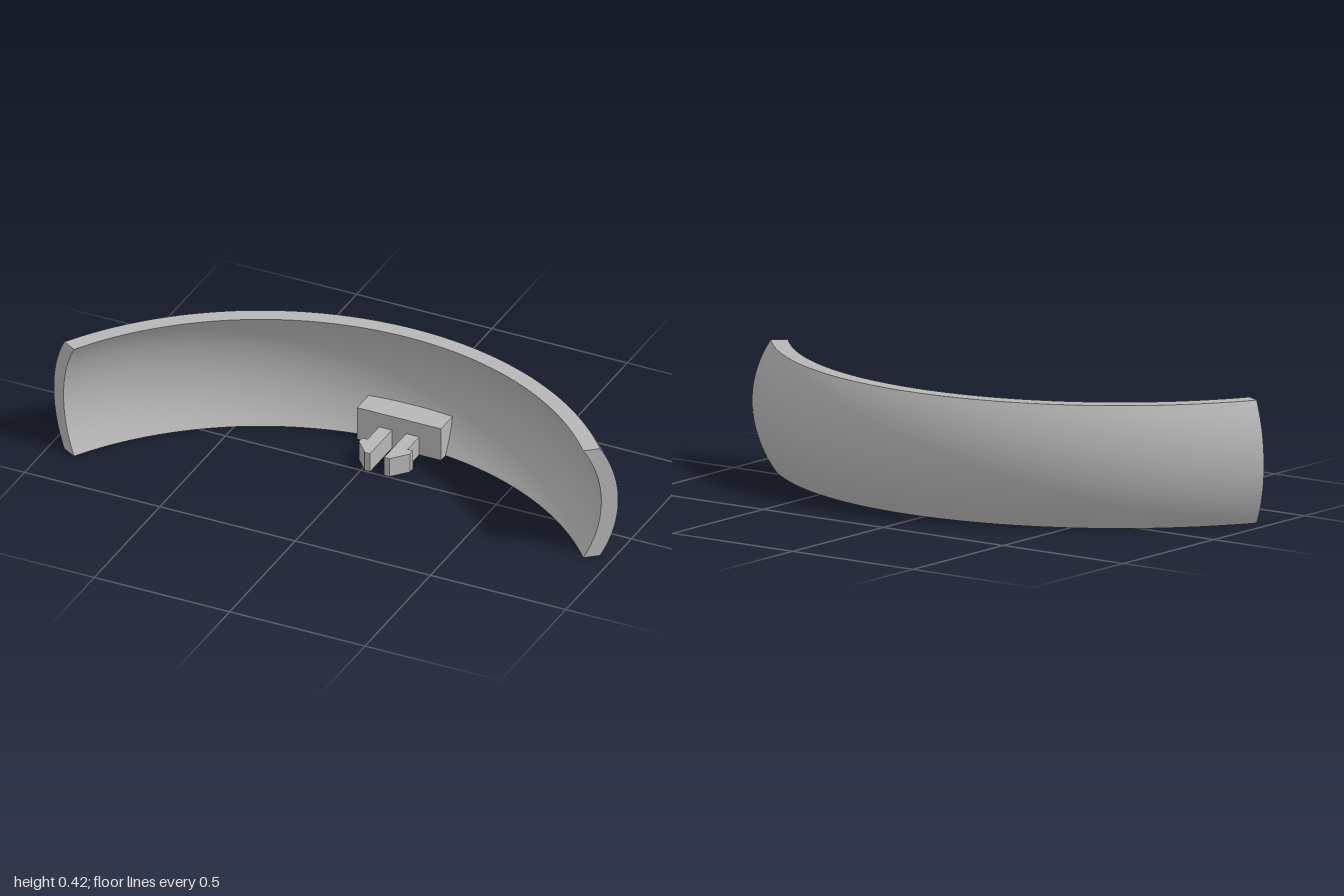
import * as THREE from 'three';
import { mergeGeometries } from 'three/addons/utils/BufferGeometryUtils.js';

const H = 0.417;                    // band height
const CX = 0.061, CZ = 0.889;       // axis of the band's sweep
const R_OUT = 1.226, R_IN = 1.168;  // radii at mid height
const BULGE = 0.38;                 // radius of the bulging section
const rad = THREE.MathUtils.degToRad;

// Radius of the bulging section at height y
function sectionRadius(mid, y) {
  return mid - BULGE + Math.sqrt(BULGE * BULGE - (y - H / 2) ** 2);
}

// Points of the section from y0 to y1
function sectionCurve(mid, y0, y1, n = 24) {
  return Array.from({ length: n + 1 }, (_, i) => {
    const y = y0 + (y1 - y0) * i / n;
    return new THREE.Vector2(sectionRadius(mid, y), y);
  });
}

export function createModel() {
  const grey = new THREE.MeshStandardMaterial({ color: 0xb6b6b6 });
  grey.name = 'grey';
  const model = new THREE.Group();
  model.name = 'curvedBandWithClip';

  const add = (name, geometry, parent = model) => {
    const mesh = new THREE.Mesh(geometry, grey);
    mesh.name = name;
    parent.add(mesh);
    return mesh;
  };

  // Band: outer, top, inner and bottom faces swept separately for crisp edges
  const outer = sectionCurve(R_OUT, 0, H);
  const inner = sectionCurve(R_IN, H, 0);
  const faces = [
    outer,
    [outer.at(-1), inner[0]],
    inner,
    [inner.at(-1), outer[0]],
  ].map(points => new THREE.LatheGeometry(points, 96, rad(130), rad(110)));

  // Flat ends of the band
  const section = [...outer, ...inner];
  const mirrored = section.map(p => new THREE.Vector2(-p.x, p.y));
  faces.push(
    new THREE.ShapeGeometry(new THREE.Shape(section)).rotateY(rad(40)),
    new THREE.ShapeGeometry(new THREE.Shape(mirrored)).rotateY(rad(-30)),
  );
  add('band', mergeGeometries(faces)).position.set(CX, 0, CZ);

  // Clip on the inside of the band
  const clip = new THREE.Group();
  clip.name = 'clip';
  clip.position.x = 0.058;
  model.add(clip);

  // Mounting plate, its back sunk into the band's inner face
  const plateTop = 0.123, plateWidth = 0.31;
  const back = sectionCurve(R_IN, 0, plateTop, 6)
    .map(p => new THREE.Vector2(p.x + 0.015 - CZ, p.y));
  const plateShape = new THREE.Shape([
    new THREE.Vector2(0.172, plateTop),
    new THREE.Vector2(0.172, 0),
    ...back,
  ]);
  const plate = new THREE.ExtrudeGeometry(plateShape, { depth: plateWidth, bevelEnabled: false });
  plate.rotateY(Math.PI / 2).translate(-plateWidth / 2, 0, 0);
  add('mountingPlate', plate, clip);

  // Pair of hooked prongs: [distance from clip centre, forward position]
  const prong = [
    [0.026, -0.18], [0.074, -0.18], [0.074, -0.085], [0.094, -0.085],
    [0.094, -0.06], [0.046, -0.005], [0.026, -0.005],
  ];
  for (const [name, side] of [['leftProng', 1], ['rightProng', -1]]) {
    const shape = new THREE.Shape(prong.map(([x, z]) => new THREE.Vector2(side * x, -z)));
    const geometry = new THREE.ExtrudeGeometry(shape, { depth: 0.07, bevelEnabled: false });
    add(name, geometry.rotateX(-Math.PI / 2), clip);
  }

  return model;
}
